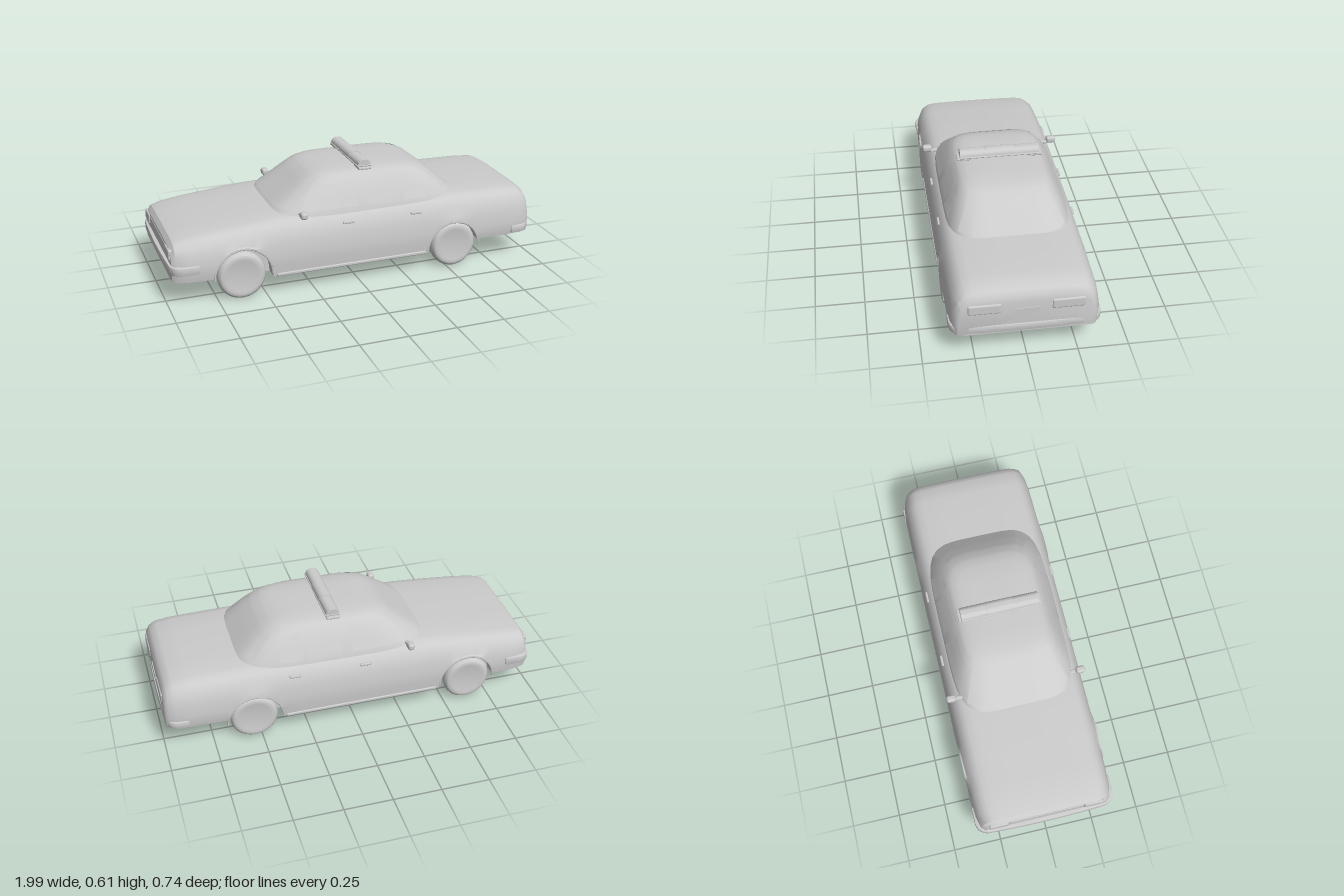
import * as THREE from 'three';
import { toCreasedNormals } from 'three/addons/utils/BufferGeometryUtils.js';
import { RoundedBoxGeometry } from 'three/addons/geometries/RoundedBoxGeometry.js';

const grey = new THREE.MeshStandardMaterial({ color: 0xcccccc });
const thin = new THREE.MeshStandardMaterial({ color: 0xcccccc, side: THREE.DoubleSide });

function add(group, name, geometry, x = 0, y = 0, z = 0, material = grey) {
  const mesh = new THREE.Mesh(geometry, material);
  mesh.name = name;
  mesh.position.set(x, y, z);
  group.add(mesh);
  return mesh;
}

// Linear lookup in rows of [x, value, value...]
function lookup(rows, x, col) {
  if (x <= rows[0][0]) return rows[0][col];
  for (let i = 1; i < rows.length; i++) {
    const a = rows[i - 1], b = rows[i];
    if (x <= b[0]) return a[col] + (b[col] - a[col]) * (x - a[0]) / (b[0] - a[0]);
  }
  return rows[rows.length - 1][col];
}

// Skin over closed rings of equal length, with a fan at both ends
function loft(rings, crease = 0.6) {
  const n = rings[0].length, pos = rings.flat(2), idx = [];
  for (let i = 0; i < rings.length - 1; i++) {
    for (let j = 0; j < n; j++) {
      const a = i * n + j, b = i * n + (j + 1) % n;
      idx.push(a, b, a + n, b, b + n, a + n);
    }
  }
  [0, rings.length - 1].forEach((r, end) => {
    const c = pos.length / 3;
    for (let k = 0; k < 3; k++) pos.push(rings[r].reduce((s, p) => s + p[k], 0) / n);
    for (let j = 0; j < n; j++) {
      const a = r * n + j, b = r * n + (j + 1) % n;
      if (end) idx.push(c, a, b); else idx.push(c, b, a);
    }
  });
  const g = new THREE.BufferGeometry();
  g.setAttribute('position', new THREE.Float32BufferAttribute(pos, 3));
  g.setIndex(idx);
  return toCreasedNormals(g, crease);
}

// Lower body: x, top height, half width
const BODY = [
  [-0.975, 0.3, 0.325], [-0.955, 0.325, 0.345], [-0.9, 0.34, 0.358], [-0.8, 0.353, 0.365],
  [-0.6, 0.373, 0.368], [-0.42, 0.388, 0.368], [-0.2, 0.395, 0.368], [0.3, 0.4, 0.368],
  [0.6, 0.395, 0.368], [0.85, 0.39, 0.365], [0.93, 0.383, 0.358], [0.965, 0.366, 0.347],
  [0.982, 0.34, 0.335], [0.988, 0.31, 0.325],
];
const BASE = [[-0.77, 0.13], [-0.47, 0.1], [0.38, 0.1], [0.68, 0.137]];
const ARCHES = [{ x: -0.62, y: 0.12, r: 0.15 }, { x: 0.53, y: 0.107, r: 0.146 }];
const SIDE = [[0, 0], [0.4, 0.005], [0.7, 0.03], [0.8, 0.07], [0.86, 0.14], [0.93, 0.3], [0.975, 0.6], [1, 0.95]];

function bodySection(x) {
  const top = lookup(BODY, x, 1), w = lookup(BODY, x, 2), floor = lookup(BASE, x, 1);
  let edge = floor + 0.001;
  for (const a of ARCHES) {
    const d = a.r ** 2 - (x - a.x) ** 2;
    if (d >= 0) edge = Math.max(edge, a.y + Math.sqrt(d));
  }
  const half = SIDE.map(([z, f], i) => [z * w, Math.max(top - f * (top - 0.2), edge + 0.004 * (9 - i))]);
  half.push([w, Math.max(0.165, edge + 0.004)], [w * 0.985, edge], [0.29, edge], [0.29, floor], [0, floor]);
  const mirrored = half.slice(1, -1).reverse().map(([z, y]) => [-z, y]);
  return [...half, ...mirrored].map(([z, y]) => [x, y, z]);
}

function bodyGeometry() {
  const xs = BODY.map((r) => r[0]);
  for (const a of ARCHES) {
    xs.push(a.x - a.r - 0.002, a.x + a.r + 0.002);
    for (let i = 0; i <= 18; i++) xs.push(a.x - a.r * 0.9999 * Math.cos(i * Math.PI / 18));
  }
  xs.sort((p, q) => p - q);
  return loft(xs.filter((x, i) => i === 0 || x - xs[i - 1] > 1e-4).map(bodySection));
}

// Cabin: height, windscreen x, rear window x, half width
const CABIN = [
  [0.36, -0.44, 0.605, 0.318], [0.4, -0.4, 0.575, 0.308], [0.47, -0.3, 0.495, 0.272],
  [0.525, -0.225, 0.425, 0.238], [0.545, -0.185, 0.38, 0.214], [0.555, -0.14, 0.33, 0.18], [0.56, -0.06, 0.25, 0.11],
];
const POWER = 5;
function cabinAt(y) {
  const f = lookup(CABIN, y, 1), r = lookup(CABIN, y, 2);
  return { mid: (f + r) / 2, len: (r - f) / 2, w: lookup(CABIN, y, 3) };
}
const partner = (u) => Math.max(0, 1 - Math.abs(u) ** POWER) ** (1 / POWER);
const cabinGeometry = () => loft(CABIN.map(([y]) => {
  const { mid, len, w } = cabinAt(y);
  return Array.from({ length: 64 }, (_, i) => {
    const t = i / 64 * Math.PI * 2, c = Math.cos(t), s = Math.sin(t);
    const k = (Math.abs(c) ** POWER + Math.abs(s) ** POWER) ** (-1 / POWER);
    return [mid + len * c * k, y, -w * s * k];
  });
}), 0.7);

// Pane laid over the cabin: corners [along, y] run bottom pair then top pair
function pane(corners, place) {
  const g = new THREE.PlaneGeometry(1, 1, 14, 8), p = g.attributes.position;
  const [a, b, c, d] = corners;
  for (let i = 0; i < p.count; i++) {
    const u = p.getX(i) + 0.5, v = p.getY(i) + 0.5;
    const mix = (k) => (a[k] * (1 - u) + b[k] * u) * (1 - v) + (d[k] * (1 - u) + c[k] * u) * v;
    p.setXYZ(i, ...place(mix(0), mix(1)));
  }
  g.computeVertexNormals();
  return g;
}

// Bumper bar wrapping round an end; dir is -1 for the nose, 1 for the tail
function bumperGeometry(dir, tip, depth, height) {
  const s = new THREE.Shape(), x = (v) => dir * (tip - v);
  s.moveTo(x(depth), -0.368);
  s.lineTo(x(0.07), -0.368);
  s.quadraticCurveTo(x(0.015), -0.36, x(0.01), -0.3);
  s.quadraticCurveTo(x(-0.005), 0, x(0.01), 0.3);
  s.quadraticCurveTo(x(0.015), 0.36, x(0.07), 0.368);
  s.lineTo(x(depth), 0.368);
  s.lineTo(x(depth), 0.34);
  s.lineTo(x(0.06), 0.3);
  s.lineTo(x(0.06), -0.3);
  s.lineTo(x(depth), -0.34);
  const g = new THREE.ExtrudeGeometry(s, {
    depth: height - 0.012, bevelEnabled: true, bevelSize: 0.005, bevelThickness: 0.006, bevelOffset: -0.005, bevelSegments: 2, curveSegments: 10,
  });
  return toCreasedNormals(g.rotateX(-Math.PI / 2).translate(0, 0.006, 0), 0.6);
}

// Domed light bar section drawn in x-y and run along z
function domeGeometry(width, height, length) {
  const s = new THREE.Shape();
  s.moveTo(-width / 2, 0);
  s.lineTo(width / 2, 0);
  s.bezierCurveTo(width / 2, height * 0.7, width * 0.28, height, 0, height);
  s.bezierCurveTo(-width * 0.28, height, -width / 2, height * 0.7, -width / 2, 0);
  const g = new THREE.ExtrudeGeometry(s, { depth: length, bevelEnabled: false, curveSegments: 8 });
  return toCreasedNormals(g.translate(0, 0, -length / 2), 0.7);
}

export function createModel() {
  const car = new THREE.Group();
  car.name = 'patrolCar';
  add(car, 'body', bodyGeometry());
  add(car, 'cabin', cabinGeometry());

  // Windscreen and rear window
  const endPane = (dir) => (z, y) => {
    const { mid, len, w } = cabinAt(y);
    return [mid + dir * (len * partner(z / w) + 0.003), y + 0.002, z];
  };
  const screen = [[-0.27, 0.4], [0.27, 0.4], [0.195, 0.54], [-0.195, 0.54]];
  add(car, 'windscreen', pane(screen, endPane(-1)), 0, 0, 0, thin);
  add(car, 'rearWindow', pane(screen, endPane(1)), 0, 0, 0, thin);

  // Tyre and hub in one turned profile
  const wheelProfile = [[0, 0.029], [0.085, 0.029], [0.098, 0.032], [0.112, 0.028], [0.122, 0.016], [0.125, 0],
    [0.123, -0.018], [0.115, -0.032], [0, -0.032]].map(([r, h]) => new THREE.Vector2(r, h)).reverse();
  const wheel = toCreasedNormals(new THREE.LatheGeometry(wheelProfile, 32).rotateX(Math.PI / 2), 0.6);

  const windows = [
    ['frontSideWindow', [[-0.3, 0.4], [0, 0.4], [0, 0.535], [-0.185, 0.535]]],
    ['rearSideWindow', [[0.055, 0.39], [0.24, 0.39], [0.24, 0.535], [0.055, 0.535]]],
    ['quarterWindow', [[0.26, 0.4], [0.39, 0.4], [0.34, 0.5], [0.26, 0.53]]],
  ];
  for (const side of [1, -1]) {
    const sidePane = (x, y) => {
      const { mid, len, w } = cabinAt(y);
      return [x, y, side * (w * partner((x - mid) / len) + 0.003)];
    };
    for (const [name, corners] of windows) add(car, name, pane(corners, sidePane), 0, 0, 0, thin);

    // Wheels and arch lips
    ARCHES.forEach((a, i) => {
      const w = add(car, i ? 'rearWheel' : 'frontWheel', wheel, a.x + (i ? 0.005 : -0.007), 0.125, side * 0.332);
      if (side < 0) w.rotation.y = Math.PI;
      add(car, 'archLip', new THREE.TorusGeometry(a.r, 0.005, 6, 24, Math.PI), a.x, a.y, side * 0.363);
    });

    // Sills, handles and door mirrors
    add(car, 'sill', new RoundedBoxGeometry(0.82, 0.018, 0.016, 2, 0.006), -0.04, 0.107, side * 0.361);
    for (const x of [-0.06, 0.315]) {
      add(car, 'doorHandle', new RoundedBoxGeometry(0.06, 0.014, 0.014, 2, 0.005), x, 0.333, side * 0.347);
    }
    add(car, 'doorMirror', new RoundedBoxGeometry(0.036, 0.036, 0.05, 3, 0.013), -0.3, 0.402, side * 0.347);
    add(car, 'mirrorArm', new RoundedBoxGeometry(0.02, 0.014, 0.05, 2, 0.005), -0.298, 0.388, side * 0.31);

    // Lamps
    add(car, 'headlight', new RoundedBoxGeometry(0.03, 0.055, 0.1, 2, 0.008), -0.968, 0.265, side * 0.25);
    add(car, 'tailLight', new RoundedBoxGeometry(0.03, 0.055, 0.16, 3, 0.01), 0.979, 0.284, side * 0.2);

    // Light bar ends
    add(car, 'lightBarLens', domeGeometry(0.07, 0.032, 0.135), 0.078, 0.574, side * 0.139);
    add(car, 'lightBarFoot', new RoundedBoxGeometry(0.07, 0.012, 0.075, 2, 0.004), 0.078, 0.563, side * 0.185);
  }

  // Light bar middle and tray
  add(car, 'lightBarCentre', domeGeometry(0.074, 0.035, 0.143), 0.078, 0.574, 0);
  add(car, 'lightBarTray', new RoundedBoxGeometry(0.08, 0.009, 0.416, 2, 0.004), 0.078, 0.573, 0);

  // Nose and tail trim
  add(car, 'grille', new RoundedBoxGeometry(0.02, 0.045, 0.39, 2, 0.006), -0.968, 0.265, 0);
  add(car, 'plate', new THREE.BoxGeometry(0.006, 0.03, 0.12), 0.989, 0.26, 0);
  add(car, 'frontBumper', bumperGeometry(-1, 0.997, 0.155, 0.045), 0, 0.173, 0);
  add(car, 'rearBumper', bumperGeometry(1, 0.997, 0.125, 0.04), 0, 0.145, 0);
  return car;
}
